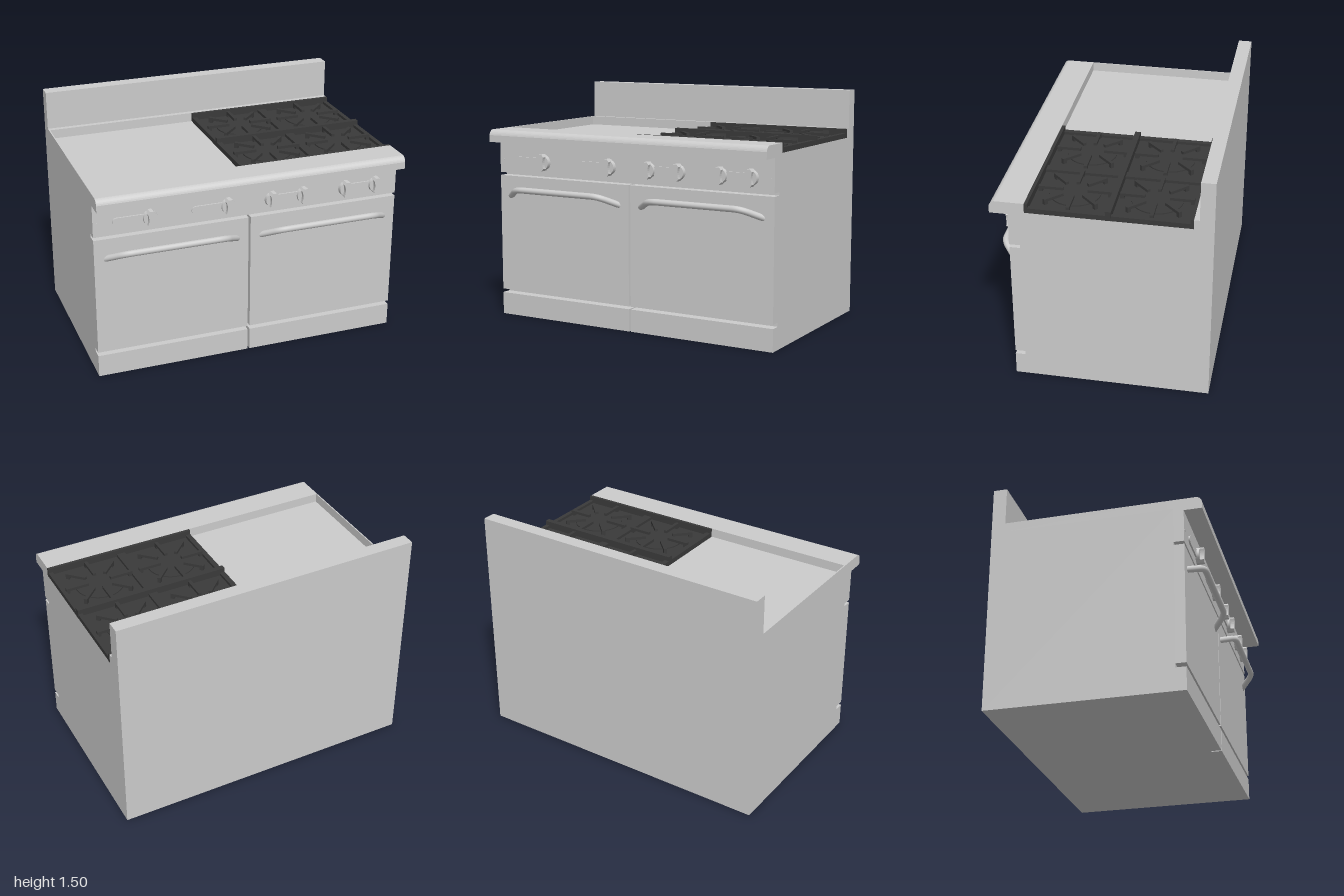
import * as THREE from 'three';

const steel = new THREE.MeshStandardMaterial({ color: 0xcccccc });
const iron = new THREE.MeshStandardMaterial({ color: 0x3a3a3a });

function add(parent, name, geometry, material = steel) {
  const mesh = new THREE.Mesh(geometry, material);
  mesh.name = name;
  parent.add(mesh);
  return mesh;
}

// Box given by its minimum and maximum on each axis
function box(parent, name, x0, x1, y0, y1, z0, z1, material) {
  const mesh = add(parent, name, new THREE.BoxGeometry(x1 - x0, y1 - y0, z1 - z0), material);
  mesh.position.set((x0 + x1) / 2, (y0 + y1) / 2, (z0 + z1) / 2);
  return mesh;
}

const FRONT = 0.555;

function makeRail() {
  // Side profile drawn with x = -z, then swept across the full width
  const s = new THREE.Shape();
  s.moveTo(-0.49, 0.96);
  s.lineTo(-0.49, 1.19);
  s.lineTo(-0.455, 1.19);
  s.lineTo(-0.455, 1.25);
  s.lineTo(-0.635, 1.25);
  s.quadraticCurveTo(-0.66, 1.245, -0.668, 1.215);
  s.lineTo(-0.668, 1.17);
  s.lineTo(-FRONT, 1.17);
  s.lineTo(-FRONT, 0.96);
  s.closePath();
  const g = new THREE.ExtrudeGeometry(s, { depth: 2, bevelEnabled: false, curveSegments: 6 });
  return g.translate(0, 0, -1).rotateY(Math.PI / 2);
}

function makeHandle(cx) {
  const group = new THREE.Group();
  group.name = 'doorHandle';
  const pts = [[-0.425, 0.805, 0.54], [-0.315, 0.862, 0.637], [0.315, 0.862, 0.637], [0.425, 0.805, 0.54]]
    .map(p => new THREE.Vector3(...p));
  // Straight runs joined by softly rounded bends
  const path = new THREE.CurvePath();
  const near = (a, b) => a.clone().add(b.clone().sub(a).setLength(0.05));
  let last = pts[0];
  for (let i = 1; i < 3; i++) {
    const inPt = near(pts[i], pts[i - 1]), outPt = near(pts[i], pts[i + 1]);
    path.add(new THREE.LineCurve3(last, inPt));
    path.add(new THREE.QuadraticBezierCurve3(inPt, pts[i], outPt));
    last = outPt;
  }
  path.add(new THREE.LineCurve3(last, pts[3]));
  add(group, 'handleBar', new THREE.TubeGeometry(path, 60, 0.02, 14));
  group.position.x = cx;
  return group;
}

function makeKnob(x) {
  const group = new THREE.Group();
  group.name = 'controlKnob';
  const dial = add(group, 'knobDial', new THREE.CylinderGeometry(0.045, 0.048, 0.025, 20));
  dial.rotation.x = Math.PI / 2;
  dial.position.z = 0.0125;
  // Waisted vertical finger grip
  const s = new THREE.Shape();
  s.moveTo(-0.012, -0.053);
  s.lineTo(0.012, -0.053);
  s.lineTo(0.025, -0.038);
  s.quadraticCurveTo(0.01, 0, 0.025, 0.038);
  s.lineTo(0.012, 0.053);
  s.lineTo(-0.012, 0.053);
  s.lineTo(-0.025, 0.038);
  s.quadraticCurveTo(-0.01, 0, -0.025, -0.038);
  add(group, 'knobGrip', new THREE.ExtrudeGeometry(s, { depth: 0.05, bevelEnabled: false, curveSegments: 6 }));
  group.position.set(x, 1.045, FRONT);
  return group;
}

// Rounded strip behind a knob
function makePlate(x0, x1) {
  const r = 0.026;
  const s = new THREE.Shape();
  s.absarc(x1 - r, 0, r, -Math.PI / 2, Math.PI / 2);
  s.absarc(x0 + r, 0, r, Math.PI / 2, Math.PI * 1.5);
  const g = new THREE.ExtrudeGeometry(s, { depth: 0.012, bevelEnabled: false, curveSegments: 8 });
  return g.translate(0, 1.045, FRONT - 0.002);
}

function makeBurner(x, z) {
  const group = new THREE.Group();
  group.name = 'burner';
  const bowl = add(group, 'burnerRing', new THREE.CylinderGeometry(0.155, 0.155, 0.008, 28), iron);
  bowl.position.y = 1.208;
  for (let i = 0; i < 8; i++) {
    const diagonal = i % 2 === 1;
    const r0 = diagonal ? 0.09 : 0.075, r1 = 0.225;
    const arm = new THREE.Group();
    arm.name = 'grateArm';
    box(arm, 'grateFinger', r0, r1, 1.222, 1.24, -0.011, 0.011, iron);
    box(arm, 'grateFoot', r1 - 0.025, r1, 1.2, 1.224, -0.011, 0.011, iron);
    arm.rotation.y = i * Math.PI / 4;
    group.add(arm);
  }
  group.position.set(x, 0, z);
  return group;
}

export function createModel() {
  const model = new THREE.Group();
  model.name = 'range';

  // Cabinet, splash guard and the sunken griddle surround
  box(model, 'cabinet', -1, 1, 0, 1.19, -0.668, 0.49);
  box(model, 'backsplash', -1, 1, 1.19, 1.5, -0.668, -0.58);
  box(model, 'rearLedge', -1, 1, 1.19, 1.25, -0.58, -0.547);
  box(model, 'griddleSideWall', -1, -0.992, 1.19, 1.25, -0.547, 0.455);
  add(model, 'frontRailAndControlPanel', makeRail());

  // Doors, kick panels and handles
  for (const side of [-1, 1]) {
    const x0 = side < 0 ? -1 : 0.007, x1 = side < 0 ? -0.007 : 1;
    box(model, 'ovenDoor', x0, x1, 0.17, 0.94, 0.49, FRONT);
    box(model, 'kickPanel', x0, x1, 0, 0.145, 0.49, FRONT);
    model.add(makeHandle(side * 0.502));
    const screw = add(model, 'panelScrew', new THREE.CylinderGeometry(0.007, 0.007, 0.006, 10));
    screw.rotation.x = Math.PI / 2;
    screw.position.set(side * 0.975, 1.045, FRONT);
  }

  // Controls
  for (const [a, b] of [[-0.88, -0.62], [-0.38, -0.12], [0.12, 0.38], [0.62, 0.875]])
    add(model, 'controlStrip', makePlate(a, b));
  for (const x of [-0.645, -0.145, 0.145, 0.355, 0.645, 0.85]) model.add(makeKnob(x));

  // Burner tray with cross bars and low side rims
  const hob = new THREE.Group();
  hob.name = 'hob';
  box(hob, 'burnerTray', -0.005, 1, 1.19, 1.204, -0.547, 0.455, iron);
  for (const [z0, z1] of [[-0.547, -0.527], [-0.063, -0.028], [0.435, 0.455]])
    box(hob, 'grateCrossBar', -0.005, 1.001, 1.19, 1.25, z0, z1, iron);
  for (const [x0, x1] of [[-0.005, 0.028], [0.472, 0.528], [0.972, 1]])
    box(hob, 'traySideRim', x0, x1, 1.19, 1.222, -0.54, 0.45, iron);
  for (const x of [0.25, 0.75]) for (const z of [-0.297, 0.2]) hob.add(makeBurner(x, z));
  model.add(hob);

  return model;
}
